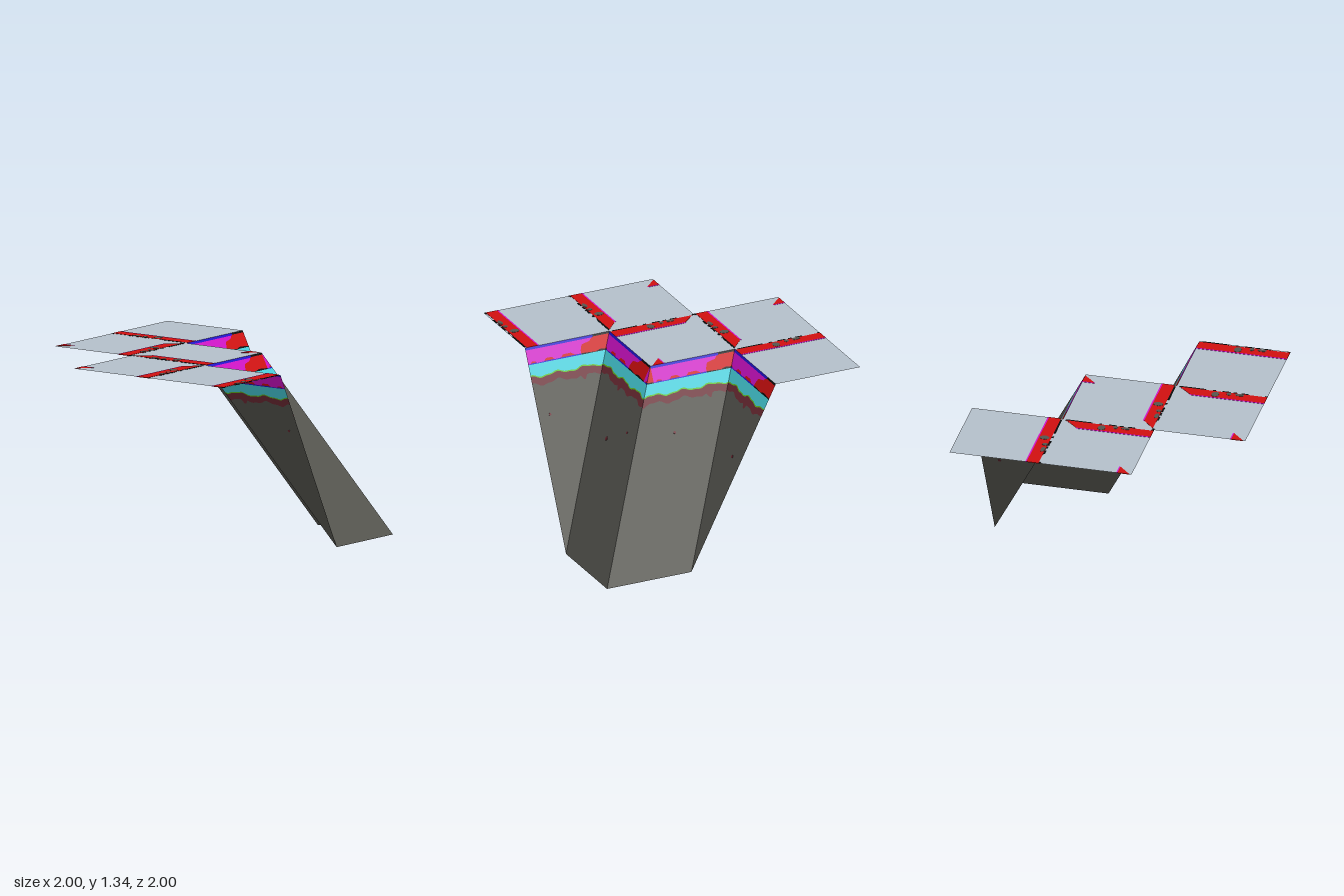
import * as THREE from 'three';

const T = 4 / 3, S = 2 / 3, H = 1 / 3; // top height, tile side, half tile

const mat = (name, color) => {
  const m = new THREE.MeshStandardMaterial({ color, side: THREE.DoubleSide });
  m.name = name;
  return m;
};

// piecewise-linear lookup of [t, y] points
function at(points, t) {
  for (let i = 1; i < points.length; i++) {
    const [t0, y0] = points[i - 1], [t1, y1] = points[i];
    if (t <= t1) return y0 + (y1 - y0) * (t - t0) / (t1 - t0);
  }
  return points[points.length - 1][1];
}

// clip a polygon to a convex counter-clockwise polygon
function clip(poly, bounds) {
  bounds.forEach((a, i) => {
    const b = bounds[(i + 1) % bounds.length];
    const side = p => (b[0] - a[0]) * (p[1] - a[1]) - (b[1] - a[1]) * (p[0] - a[0]);
    const out = [];
    poly.forEach((p, j) => {
      const q = poly[(j + 1) % poly.length], sp = side(p), sq = side(q);
      if (sp >= 0) out.push(p);
      if (sp * sq < 0) {
        const k = sp / (sp - sq);
        out.push([p[0] + (q[0] - p[0]) * k, p[1] + (q[1] - p[1]) * k]);
      }
    });
    poly = out;
  });
  return poly;
}

// wavy lower edge of the bands, with optional drip
const wave = (base, amp, drip) => {
  const pts = [];
  for (let i = 0; i <= 40; i++) {
    const t = S * i / 40;
    const d = drip ? 0.055 * Math.max(0, 1 - Math.abs(t - 0.41) / 0.028) : 0;
    pts.push([t, base + amp * Math.sin(t * 6 * Math.PI / S + 2) + amp * 0.4 * Math.sin(t * 14 * Math.PI / S) - d]);
  }
  return pts;
};

export function createModel() {
  const group = new THREE.Group();
  const M = {
    tile: mat('paleGrey', 0xb4bfca),
    stone: mat('stoneGrey', 0x55554f),
    red: mat('red', 0xd01010),
    magenta: mat('magenta', 0xd012c8),
    blue: mat('blue', 0x2212cc),
    cyan: mat('cyan', 0x48d0dc),
    green: mat('green', 0x62c024),
    maroon: mat('maroon', 0x6e2b35),
    black: mat('black', 0x0c0c0c),
  };

  // wall bands from the top down: colour and lower edge over one tile width
  const bands = [
    ['blue', [[0, 1.317], [0.53, 1.317], [0.535, T], [S, T]]],
    ['black', [[0, 1.317], [0.53, 1.317], [0.535, 1.321], [S, 1.321]]],
    ['magenta', [[0, 1.226], [0.02, 1.226], [0.03, 1.24], [0.06, 1.238], [0.07, 1.226], [0.125, 1.228],
      [0.145, 1.246], [0.19, 1.246], [0.21, 1.228], [0.26, 1.23], [0.28, 1.247], [0.34, 1.248], [0.37, 1.232],
      [0.419, 1.23], [0.42, 1.25], [0.435, 1.285], [0.5, 1.298], [0.525, 1.321], [S, 1.321]]],
    ['red', [[0, 1.23], [0.45, 1.23], [0.53, 1.225], [0.57, 1.235], [S, 1.228]]],
    ['blue', [[0, 1.222], [0.419, 1.222], [0.42, 1.24], [S, 1.24]]],
    ['black', [[0, 1.222], [S, 1.222]]],
    ['cyan', wave(1.147, 0.009, false)],
    ['green', wave(1.139, 0.009, false)],
    ['maroon', wave(1.092, 0.012, true)],
    ['stone', [[0, 0], [S, 0]]],
  ];
  const cols = [...new Set(bands.flatMap(b => b[1].map(p => p[0])))].sort((a, b) => a - b);

  // sloping wall: outline in (h, y), place() maps it into space
  function addWall(name, outline, place) {
    const wall = new THREE.Group();
    wall.name = name;
    const tris = {};
    for (let k = -1; k < 2; k++) {
      for (let c = 0; c + 1 < cols.length; c++) {
        const ta = cols[c], tb = cols[c + 1], o = k * S - H;
        let ya = T, yb = T;
        for (const [color, edge] of bands) {
          const na = Math.min(ya, at(edge, ta)), nb = Math.min(yb, at(edge, tb));
          if (ya - na > 1e-6 || yb - nb > 1e-6) {
            const p = clip([[o + ta, na], [o + tb, nb], [o + tb, yb], [o + ta, ya]], outline);
            for (let i = 2; i < p.length; i++)
              (tris[color] ??= []).push(...place(...p[0]), ...place(...p[i - 1]), ...place(...p[i]));
          }
          ya = na; yb = nb;
        }
      }
    }
    for (const color in tris) {
      const g = new THREE.BufferGeometry();
      g.setAttribute('position', new THREE.Float32BufferAttribute(tris[color], 3));
      g.computeVertexNormals();
      const m = new THREE.Mesh(g, M[color]);
      m.name = color + 'Band';
      wall.add(m);
    }
    group.add(wall);
  }
  const facingFront = z0 => (h, y) => [h, y, z0 + (T - y) / 2];
  const facingSide = x0 => (h, y) => [x0 + (T - y) / 2, y, -h];
  const wedgeSide = [[-1, 0], [-H, T], [-1, T]];
  const slabFront = [[H, 0], [1, 0], [H, T], [-H, T]];
  const slabSide = [[-1, 0], [-H, 0], [H, T], [-H, T]];
  const wedgeFront = [[1, 0], [1, T], [H, T]];
  addWall('sideWedgeWall', wedgeSide, facingSide(-H));
  addWall('frontWall', slabFront, facingFront(H));
  addWall('sideWall', slabSide, facingSide(H));
  addWall('frontWedgeWall', wedgeFront, facingFront(-H));

  // small stains showing on both wall faces
  function addStain(h, y, r, place, normal) {
    const m = new THREE.Mesh(new THREE.CylinderGeometry(r, r, 0.006, 8), M.maroon);
    m.name = 'stain';
    m.position.set(...place(h, y));
    m.quaternion.setFromUnitVectors(new THREE.Vector3(0, 1, 0), normal.normalize());
    group.add(m);
  }
  for (const [h, y, r, z0] of [[0.2, 0.77, 0.014, H], [0.41, 0.89, 0.01, H], [0.87, 0.77, 0.011, -H]])
    addStain(h, y, r, facingFront(z0), new THREE.Vector3(0, 0.5, 1));
  for (const [h, y, r, x0] of [[-0.25, 0.89, 0.01, H], [-0.91, 0.89, 0.01, -H]])
    addStain(h, y, r, facingSide(x0), new THREE.Vector3(1, 0.5, 0));

  // floor tiles with a painted stripe: a runs along the stripe, b away from its edge
  const rect = (a0, a1, b0, b1) => [[a0, b0], [a1, b0], [a1, b1], [a0, b1]];
  const dashes = [[0, 0.02], [0.14, 0.19], [0.22, 0.25], [0.27, 0.33], [0.38, 0.4], [0.45, 0.645]];
  const spots = [[0.2, 0.032, 0.035, 0.017], [0.275, 0.035, 0.018, 0.02], [0.37, 0.062, 0.028, 0.036]];

  function addTile(name, x0, z0, along, startCut, endCut, corner) {
    const tile = new THREE.Group();
    tile.name = name;
    const floor = new THREE.Mesh(new THREE.PlaneGeometry(S, S).rotateX(-Math.PI / 2), M.tile);
    floor.name = 'floor';
    floor.position.set(x0 + H, T, z0 + H);
    tile.add(floor);

    const frame = along === 'x'
      ? new THREE.Matrix4().makeRotationX(-Math.PI / 2).setPosition(x0, T, z0 + S)
      : new THREE.Matrix4().makeBasis(new THREE.Vector3(0, 0, 1), new THREE.Vector3(1, 0, 0),
        new THREE.Vector3(0, 1, 0)).setPosition(x0, T, z0);
    const plate = (part, points, color, half = 0.002) => {
      const shape = new THREE.Shape(points.map(p => new THREE.Vector2(...p)));
      const g = new THREE.ExtrudeGeometry(shape, { depth: half * 2, bevelEnabled: false });
      const m = new THREE.Mesh(g.translate(0, 0, -half).applyMatrix4(frame), M[color]);
      m.name = part;
      tile.add(m);
    };

    const s0 = startCut ? 0.02 : 0, s1 = startCut ? 0.115 : 0;
    const e0 = endCut ? 0.64 : S, e1 = endCut ? 0.545 : S;
    plate('stripe', [[s0, 0.015], [e0, 0.015], [e1, 0.102], [s1, 0.102]], 'red');
    plate('stripeEdge', rect(s1, e1, 0.102, 0.112), 'magenta');
    for (const [a, b] of dashes) plate('dash', rect(a, b, 0.002, 0.015), 'black');
    for (const [a, b, ra, rb] of spots) {
      const pts = [];
      for (let i = 0; i < 8; i++) {
        const w = i * Math.PI / 4 + 0.3;
        pts.push([a + ra * Math.cos(w), b + rb * Math.sin(w)]);
      }
      plate('spot', pts, 'stone', 0.0035);
    }
    if (corner === 'far') {
      plate('cornerMark', [[0.015, S], [0.104, S], [0.104, 0.575]], 'red');
      plate('cornerEdge', rect(0.104, 0.112, 0.575, S), 'magenta');
    } else if (corner === 'near') {
      plate('cornerMark', [[0.562, 0.575], [0.562, S], [0.65, S]], 'red');
      plate('cornerEdge', rect(0.554, 0.562, 0.575, S), 'magenta');
    }
    group.add(tile);
  }
  addTile('frontTile', -1, H, 'x', false, false, null);
  addTile('rightTile', -1, -H, 'x', false, true, 'far');
  addTile('centreTile', -H, -H, 'z', true, false, 'near');
  addTile('backTile', -H, -1, 'x', false, true, 'far');
  addTile('leftTile', H, -1, 'z', false, false, null);

  return group;
}
